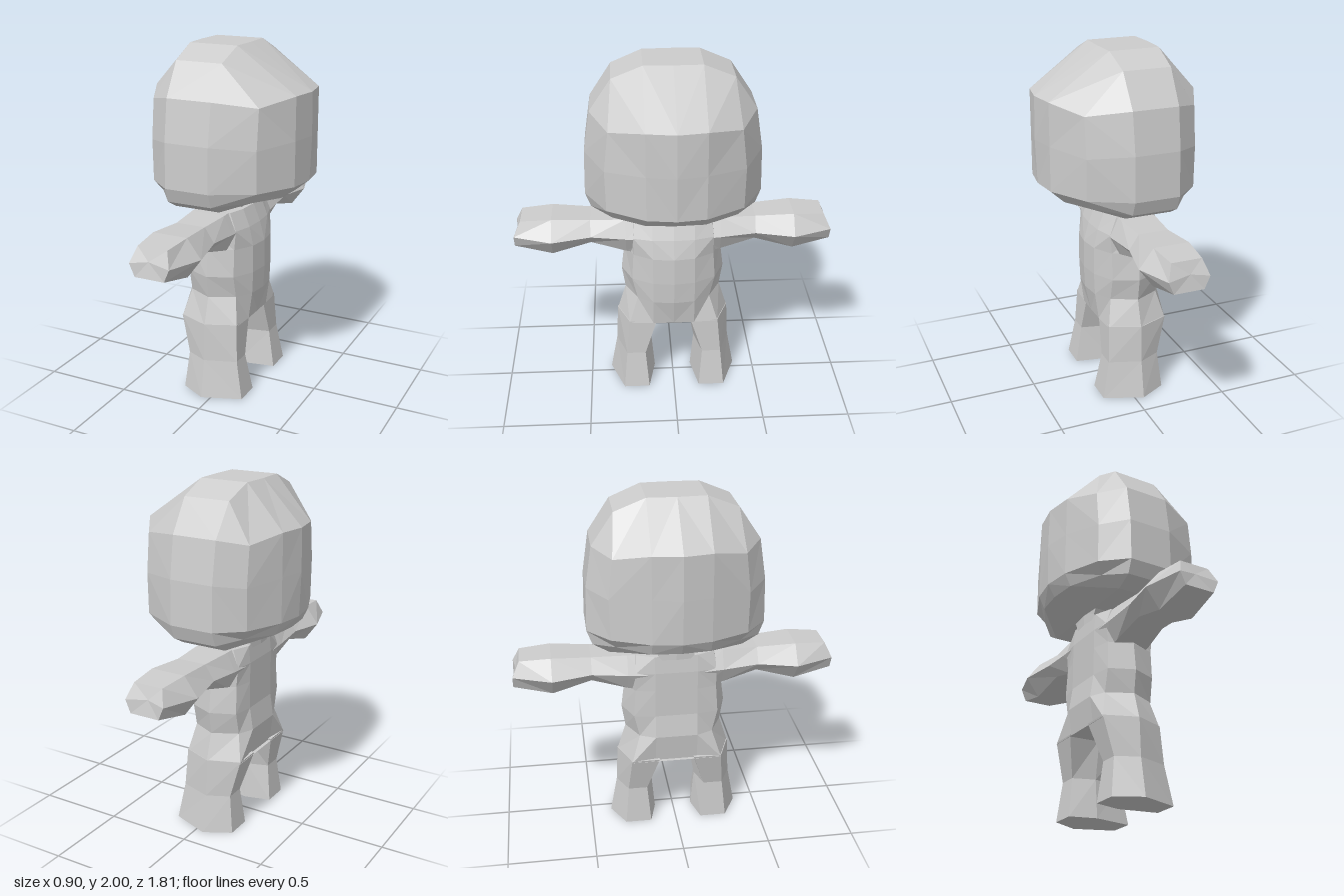
import * as THREE from 'three';

const material = new THREE.MeshStandardMaterial({ color: 0xcccccc, flatShading: true });

// Facets between successive rows of points
function skin(rows, out = []) {
  const tri = (a, b, c) => {
    const same = (p, q) => p.every((v, i) => v === q[i]);
    if (!same(a, b) && !same(b, c) && !same(a, c)) out.push([a, b, c]);
  };
  for (let i = 0; i < rows.length - 1; i++) {
    for (let j = 0; j < rows[i].length - 1; j++) {
      const a = rows[i][j], b = rows[i][j + 1], c = rows[i + 1][j + 1], d = rows[i + 1][j];
      tri(a, d, c);
      tri(a, c, b);
    }
  }
  return out;
}

const mirror = (tris) => tris.map(([a, b, c]) => [a, c, b].map(([x, y, z]) => [x, y, -z]));

function makeMesh(name, tris) {
  const geometry = new THREE.BufferGeometry();
  geometry.setAttribute('position', new THREE.Float32BufferAttribute(tris.flat(2), 3));
  geometry.computeVertexNormals();
  const mesh = new THREE.Mesh(geometry, material);
  mesh.name = name;
  return mesh;
}

const centre = (ring) => {
  const c = [0, 1, 2].map((k) => ring.reduce((s, p) => s + p[k], 0) / ring.length);
  return ring.map(() => c);
};

// Closed rings, with both ends capped
function limb(rings) {
  const rows = rings.map((r) => [...r, r[0]]);
  return skin([centre(rows[0]), ...rows, centre(rows[rows.length - 1])]);
}

// Head: a central band with a domed panel on each x side
function headHalf() {
  const panel = (xs, low) => [
    [[xs[0] * 0.99, 1.76, 0], [xs[1], 1.76, 0.16], [xs[2], 1.72, 0.35]],
    [[xs[0], 1.52, 0], [xs[1], 1.52, 0.16], [xs[2], 1.5, 0.375]],
    [[xs[0] * 0.98, 1.27, 0], [xs[1], 1.27, 0.16], [xs[2], 1.27, 0.37]],
    [[low[0], 1.2, 0], [low[1], 1.2, 0.16], [low[2], 1.21, 0.34]],
  ];
  const rim = (g) => [g[0][0], g[0][1], g[0][2], g[0][2], g[1][2], g[2][2],
    g[3][2], g[3][2], g[3][1], g[3][0]];
  const profile = [[0, 2], [0.16, 2], [0.33, 1.93], [0.45, 1.75], [0.485, 1.52],
    [0.49, 1.27], [0.46, 1.19], [0.37, 1.14], [0.16, 1.13], [0, 1.13]];
  const band = (x, bulge) => profile.map(([z, y]) => [x + bulge * (1 - z / 0.49), y, z]);
  const plus = panel([0.445, 0.415, 0.29], [0.35, 0.34, 0.25]);
  const minus = panel([-0.452, -0.42, -0.33], [-0.4, -0.385, -0.29]);
  const tris = skin([rim(plus), band(0.065, 0.015), band(-0.19, -0.025), rim(minus)]);
  skin([...plus].reverse(), tris);
  skin(minus, tris);
  return tris;
}

// Torso rows: y, belly x, side x, side z, widest z, back side x, back x
function torsoHalf() {
  const rows = [
    [0.43, 0.13, 0.12, 0.26, 0.33, -0.23, -0.21],
    [0.59, 0.165, 0.09, 0.21, 0.28, -0.19, -0.23],
    [0.72, 0.172, 0.09, 0.24, 0.3, -0.19, -0.21],
    [0.88, 0.17, 0.09, 0.23, 0.28, -0.185, -0.21],
    [0.99, 0.14, 0.1, 0.23, 0.26, -0.195, -0.21],
    [1.09, 0.1, 0.06, 0.22, 0.24, -0.16, -0.2],
  ].map(([y, xf, xs, zs, zm, xbs, xb]) => [
    [xf, y, 0], [xf * 0.8 + xs * 0.2, y, 0.12], [xs, y, zs], [-0.05, y, zm],
    [xbs, y, zs], [xb, y, 0.12], [xb, y, 0],
  ]);
  const flat = (row) => row.map(([x, y]) => [x, y, 0]);
  return skin([flat(rows[0]), ...rows, flat(rows[5])]);
}

// Neck: short block that flares towards the head
const neckHalf = () => skin([[1.07, 0.1], [1.1, 0.1], [1.15, 0.13]].map(([y, z]) => [
  [0.07, y, 0], [0.07, y, z], [-0.2, y, z], [-0.21, y, 0]]));

// Leg rows: y, front x, back x, then z of inner ridge, inner edge, outer edge, outer ridge
const leg = () => limb([
  [0, 0.17, -0.2, 0.11, 0.15, 0.3, 0.38],
  [0.22, 0.13, -0.175, 0.13, 0.17, 0.28, 0.34],
  [0.44, 0.12, -0.23, 0.09, 0.1, 0.26, 0.33],
].map(([y, xf, xb, z0, z1, z2, z3]) => [
  [xf, y, z1], [xf, y, z2], [-0.05, y, z3], [xb, y, z2], [xb, y, z1], [-0.05, y, z0]]));

// Arm rows: z of top edge, z, top y, middle y, bottom y, half width at edges, half width at middle
const arm = () => limb([
  [0.16, 0.16, 1.09, 0.98, 0.86, 0.1, 0.155],
  [0.27, 0.27, 1.088, 0.985, 0.885, 0.1, 0.15],
  [0.47, 0.47, 1.083, 1, 0.94, 0.085, 0.14],
  [0.69, 0.69, 1.097, 0.99, 0.882, 0.1, 0.18],
  [0.865, 0.905, 1.085, 1, 0.93, 0.085, 0.115],
].map(([zt, z, top, mid, low, w, wm]) => {
  const x = -0.05;
  return [[x - w, top, zt], [x + w, top, zt], [x + wm, mid, z],
    [x + w, low, z], [x - w, low, z], [x - wm, mid, z]];
}));

export function createModel() {
  const group = new THREE.Group();
  group.name = 'figure';
  const parts = { head: headHalf(), neck: neckHalf(), torso: torsoHalf() };
  for (const [name, half] of Object.entries(parts)) {
    group.add(makeMesh(name, [...half, ...mirror(half)]));
  }
  for (const [name, tris] of [['Arm', arm()], ['Leg', leg()]]) {
    group.add(makeMesh('near' + name, tris), makeMesh('far' + name, mirror(tris)));
  }
  return group;
}
